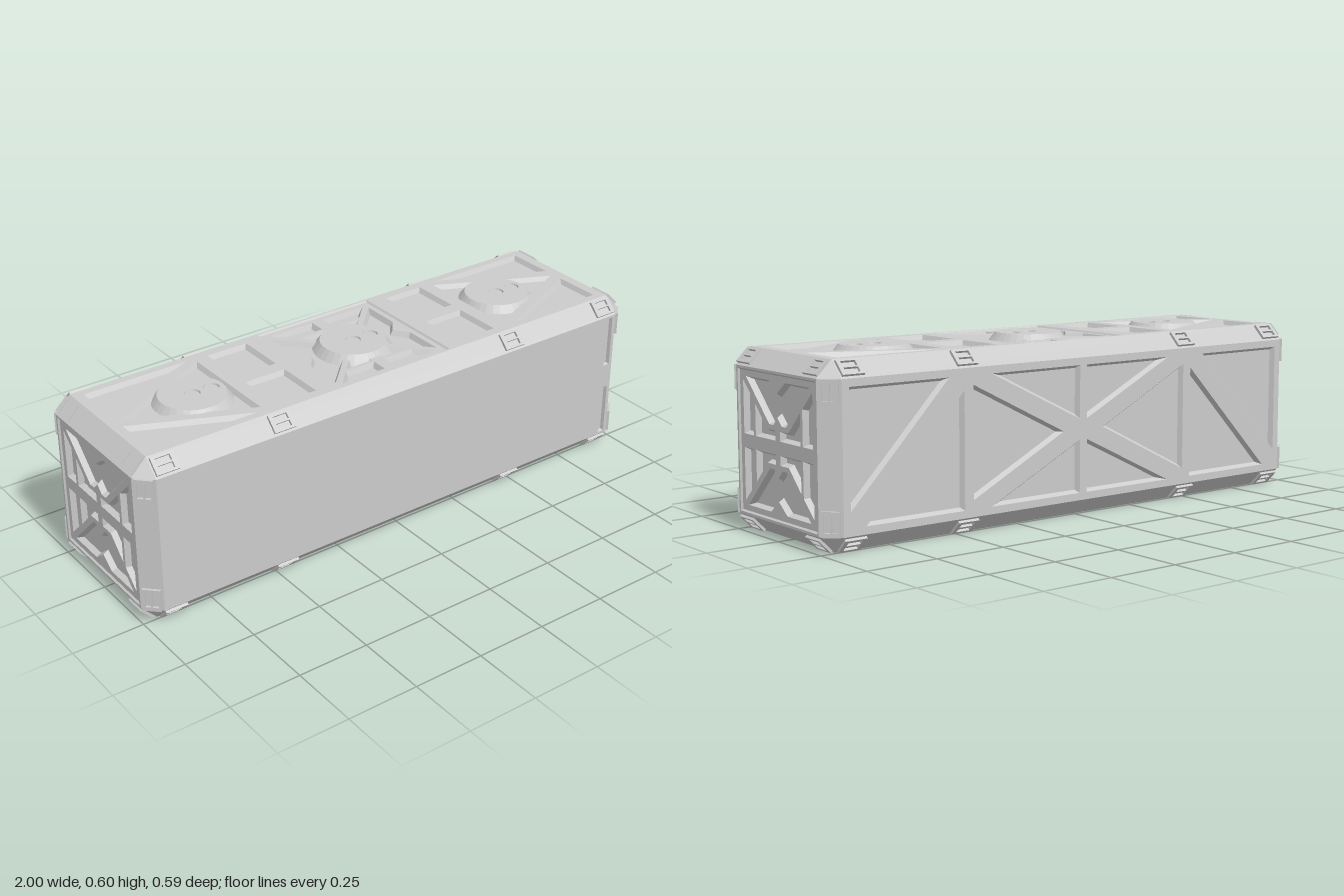
import * as THREE from 'three';

const HALF = [1, 0.295, 0.295]; // half extents
const C = 0.055; // chamfer
const mat = () => new THREE.MeshStandardMaterial({ color: 0xcccccc, flatShading: true });

function meshFrom(positions, name) {
  const g = new THREE.BufferGeometry();
  g.setAttribute('position', new THREE.Float32BufferAttribute(positions, 3));
  g.computeVertexNormals();
  const m = new THREE.Mesh(g, mat());
  m.name = name;
  return m;
}

const rect = (x0, y0, x1, y1) => [[x0, y0], [x1, y0], [x1, y1], [x0, y1]];
const circle = (x, y, r, n = 32) => Array.from({ length: n }, (_, i) =>
  [x + r * Math.cos(i * 2 * Math.PI / n), y + r * Math.sin(i * 2 * Math.PI / n)]);
const mirror = (list, sx, sy) => list.map(p => p.map(([x, y]) => [x * sx, y * sy]));
const bothX = list => [...list, ...mirror(list, -1, 1)];
const bothY = list => [...list, ...mirror(list, 1, -1)];
const pits = (list, depth = 0.016, inset = 0.01) => list.map(pts => ({ pts, depth, inset }));
const toVec = pts => {
  const v = pts.map(p => new THREE.Vector2(p[0], p[1]));
  return THREE.ShapeUtils.isClockWise(v) ? v.reverse() : v;
};

// Counter-clockwise polygon moved inward by w
function insetPoly(v, w) {
  const n = v.length;
  const normal = (a, b) => new THREE.Vector2(a.y - b.y, b.x - a.x).normalize();
  return v.map((p, i) => {
    const n1 = normal(v[(i + n - 1) % n], p), n2 = normal(p, v[(i + 1) % n]);
    return p.clone().add(n1.clone().add(n2).multiplyScalar(w / (1 + n1.dot(n2))));
  });
}

// Flat face with sloped, possibly nested pits
function panelPositions(outline, list, z = 0, out = []) {
  const shape = new THREE.Shape(outline);
  const holes = list.map(p => toVec(p.pts));
  holes.forEach(h => shape.holes.push(new THREE.Path(h)));
  const a = new THREE.ShapeGeometry(shape).toNonIndexed().attributes.position;
  for (let i = 0; i < a.count; i++) out.push(a.getX(i), a.getY(i), z);
  list.forEach((pit, k) => {
    const o = holes[k], q = insetPoly(o, pit.inset), zb = z - pit.depth;
    o.forEach((p, i) => {
      const j = (i + 1) % o.length;
      out.push(p.x, p.y, z, o[j].x, o[j].y, z, q[j].x, q[j].y, zb);
      out.push(p.x, p.y, z, q[j].x, q[j].y, zb, q[i].x, q[i].y, zb);
    });
    panelPositions(q, pit.sub || [], zb, out);
  });
  return out;
}
const panel = (pts, list, name) => meshFrom(panelPositions(toVec(pts), list), name);

// Square cross-braced hatch: notched trapezoids above and below, split triangles at the sides
function hatch(cx, swap) {
  const trapezoid = [[0.19, 0.208], [0.05, 0.208], [0, 0.17], [-0.05, 0.208], [-0.19, 0.208],
    [-0.05, 0.07], [-0.025, 0.07], [0, 0.095], [0.025, 0.07], [0.05, 0.07]];
  const side = [
    [[0.208, 0.195], [0.208, 0.022], [0.148, 0.022], [0.148, 0.138]],
    [[0.135, 0.125], [0.135, 0.022], [0.014, 0.022], [0.014, 0.054], [0.064, 0.054]],
  ];
  const all = [...bothY([trapezoid]), ...bothX(bothY(side))];
  const place = ([x, y]) => swap ? [y + cx, x] : [x + cx, y];
  return {
    pts: rect(cx - 0.232, -0.232, cx + 0.232, 0.232), depth: 0.006, inset: 0.005,
    sub: pits(all.map(p => p.map(place)), 0.018, 0.009),
  };
}

// Chamfered edges, corner triangles and the position of every edge clip
function frame(clipGeometry) {
  const out = [], group = new THREE.Group();
  const tri = (a, b, c) => {
    const n = b.clone().sub(a).cross(c.clone().sub(a));
    const mid = a.clone().add(b).add(c);
    for (const p of n.dot(mid) < 0 ? [a, c, b] : [a, b, c]) out.push(p.x, p.y, p.z);
  };
  // corner of the face on axis "full"
  const pt = (s, full) => new THREE.Vector3(...HALF.map((h, i) => s[i] * (i === full ? h : h - C)));
  for (let k = 0; k < 3; k++) {
    const a = (k + 1) % 3, b = (k + 2) % 3;
    for (const sa of [-1, 1]) for (const sb of [-1, 1]) {
      const s0 = [0, 0, 0], s1 = [0, 0, 0];
      s0[a] = s1[a] = sa; s0[b] = s1[b] = sb; s0[k] = -1; s1[k] = 1;
      tri(pt(s0, a), pt(s1, a), pt(s1, b));
      tri(pt(s0, a), pt(s1, b), pt(s0, b));
      const along = new THREE.Vector3().setComponent(k, 1);
      const nrm = new THREE.Vector3().setComponent(a, sa).setComponent(b, sb).normalize();
      for (const t of k === 0 ? [-0.9, -0.475, 0.475, 0.9] : [-0.2, 0.2]) {
        const clip = new THREE.Mesh(clipGeometry, mat());
        clip.name = 'edgeClip';
        clip.applyMatrix4(new THREE.Matrix4().makeBasis(along, nrm.clone().cross(along), nrm));
        clip.position.setComponent(k, t)
          .setComponent(a, sa * (HALF[a] - C / 2)).setComponent(b, sb * (HALF[b] - C / 2));
        group.add(clip);
      }
    }
  }
  for (const x of [-1, 1]) for (const y of [-1, 1]) for (const z of [-1, 1]) {
    const s = [x, y, z];
    tri(pt(s, 0), pt(s, 1), pt(s, 2));
  }
  group.add(meshFrom(out, 'chamferedFrame'));
  group.name = 'frame';
  return group;
}

function windowFrame(w, h, holes, depth) {
  const s = new THREE.Shape(toVec(rect(-w / 2, -h / 2, w / 2, h / 2)));
  holes.forEach(r => s.holes.push(new THREE.Path(toVec(r))));
  return new THREE.ExtrudeGeometry(s, { depth, bevelEnabled: false });
}

export function createModel() {
  const root = new THREE.Group();
  root.name = 'container';
  const body = new THREE.Group();
  body.name = 'body';
  body.position.y = HALF[1];
  root.add(body);

  const L = 1 - C, S = HALF[1] - C;
  const long = rect(-L, -S, L, S);
  const add = (obj, pos, rot) => {
    obj.position.set(...pos);
    obj.rotation.set(...rot);
    body.add(obj);
    return obj;
  };

  // Plain front with two slots
  add(panel(long, pits(bothY([rect(0.905, 0.045, 0.932, 0.232)]), 0.012, 0.004), 'frontPanel'),
    [0, 0, HALF[2]], [0, 0, 0]);

  // Back truss
  const truss = bothX([
    [[0.55, 0.215], [0.92, 0.215], [0.92, -0.165]],
    [[0.492, 0.17], [0.492, -0.215], [0.865, -0.215]],
    [[0.458, 0.185], [0.458, -0.185], [0.085, 0]],
    ...bothY([[[0.015, 0.035], [0.015, 0.215], [0.385, 0.215]]]),
  ]);
  add(panel(long, pits(truss), 'backPanel'), [0, 0, -HALF[2]], [0, Math.PI, 0]);

  // Top and bottom: hatch, square pits, triangles
  const deck = bothX([
    ...bothY([
      rect(0.297, 0.025, 0.45, 0.205),
      [[0.53, 0.212], [0.91, 0.212], [0.91, 0.04]],
    ]),
    [[0.5, 0.19], [0.5, -0.19], [0.895, 0]],
  ]);
  const deckPits = [...pits(deck), hatch(0, true)];
  add(panel(long, deckPits, 'topPanel'), [0, HALF[1], 0], [-Math.PI / 2, 0, 0]);
  add(panel(long, deckPits, 'bottomPanel'), [0, -HALF[1], 0], [Math.PI / 2, 0, 0]);

  // Ends
  for (const s of [-1, 1]) {
    add(panel(rect(-S, -S, S, S), [hatch(0, false)], 'endPanel'), [s, 0, 0], [0, s * Math.PI / 2, 0]);
  }

  // Domes on top, each with two round sockets
  for (const x of [-0.635, 0, 0.635]) {
    const dome = new THREE.Group();
    dome.name = 'dome';
    const side = new THREE.Mesh(new THREE.CylinderGeometry(0.113, 0.138, 0.032, 32, 1, true), mat());
    side.name = 'domeSide';
    side.position.y = -0.016;
    const cap = panel(circle(0, 0, 0.113), pits([circle(0, 0, 0.027, 16), circle(0.071, 0, 0.027, 16)], 0.006, 0.002), 'domeCap');
    cap.rotation.x = -Math.PI / 2;
    side.rotation.y = Math.PI / 2;
    dome.add(side, cap);
    add(dome, [x, 0.305, 0], [0, 0, 0]);
  }

  // Square sockets underneath
  const socket = windowFrame(0.1, 0.1, [rect(-0.03, -0.03, 0.03, 0.03)], 0.016);
  for (const x of [-0.63, 0.63]) {
    const m = new THREE.Mesh(socket, mat());
    m.name = 'bottomSocket';
    add(m, [x, -HALF[1] + 0.017, 0], [Math.PI / 2, 0, 0]);
  }

  // Edges with clips
  body.add(frame(windowFrame(0.08, 0.06, [rect(-0.026, -0.022, 0.026, -0.003), rect(-0.026, 0.003, 0.026, 0.022)], 0.009)));
  return root;
}
